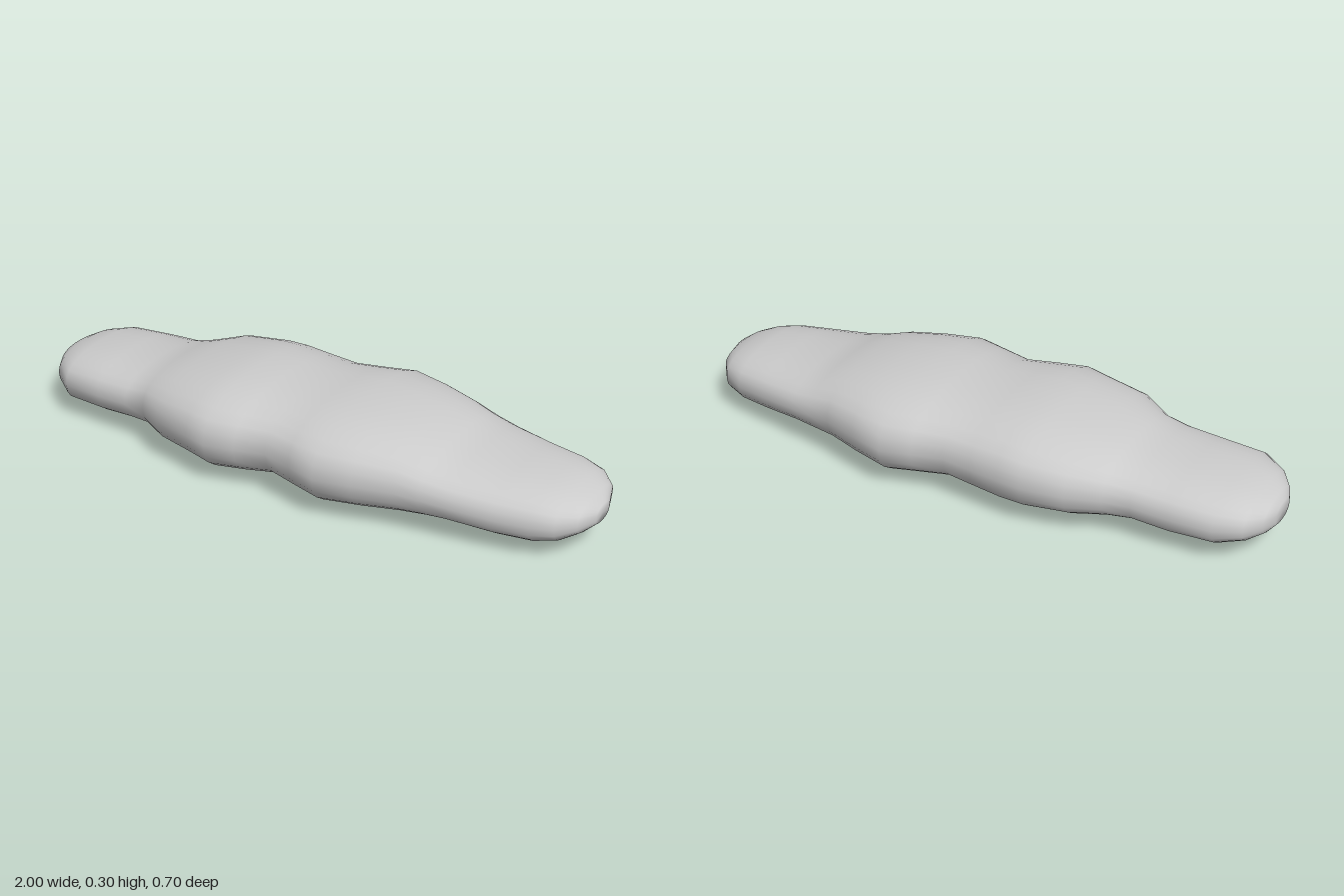
import * as THREE from 'three';

// Cross-sections along x: [x, bottom, top, back z, front z]
const sections = [
  [-1, 0.1, 0.165, -0.05, 0.06],
  [-0.98, 0.08, 0.18, -0.1, 0.115],
  [-0.94, 0.06, 0.2, -0.155, 0.175],
  [-0.86, 0.035, 0.222, -0.197, 0.23],
  [-0.72, 0.03, 0.23, -0.21, 0.235],
  [-0.6, 0.038, 0.234, -0.215, 0.24],
  [-0.52, 0.034, 0.252, -0.24, 0.246],
  [-0.42, 0.025, 0.283, -0.295, 0.302],
  [-0.28, 0.012, 0.298, -0.32, 0.33],
  [-0.2, 0.005, 0.305, -0.316, 0.348],
  [-0.1, 0.014, 0.298, -0.308, 0.325],
  [0, 0.024, 0.292, -0.3, 0.295],
  [0.1, 0.014, 0.298, -0.327, 0.318],
  [0.2, 0.004, 0.305, -0.355, 0.34],
  [0.32, 0.014, 0.296, -0.328, 0.312],
  [0.44, 0.026, 0.28, -0.292, 0.275],
  [0.52, 0.034, 0.253, -0.278, 0.254],
  [0.6, 0.04, 0.235, -0.265, 0.24],
  [0.74, 0.03, 0.224, -0.24, 0.212],
  [0.85, 0.03, 0.217, -0.222, 0.185],
  [0.92, 0.05, 0.2, -0.198, 0.158],
  [0.97, 0.08, 0.18, -0.14, 0.11],
  [1, 0.105, 0.16, -0.05, 0.045],
];
const SIDES = 28;

// Rounded, slightly boxy outline value
const bulge = (v, power) => Math.sign(v) * Math.abs(v) ** power;

function cloudGeometry() {
  const pos = [], index = [];
  for (const [x, y0, y1, z0, z1] of sections) {
    for (let j = 0; j < SIDES; j++) {
      const a = (j / SIDES) * Math.PI * 2;
      const c = bulge(Math.cos(a), 0.88), s = bulge(Math.sin(a), 0.8);
      pos.push(x, (y0 + y1) / 2 + s * (y1 - y0) / 2, (z0 + z1) / 2 + c * (z1 - z0) / 2);
    }
  }
  // Skin between neighbouring sections
  const last = sections.length - 1;
  for (let i = 0; i < last; i++) {
    for (let j = 0; j < SIDES; j++) {
      const k = (j + 1) % SIDES;
      const a = i * SIDES + j, b = i * SIDES + k;
      index.push(a, a + SIDES, b, b, a + SIDES, b + SIDES);
    }
  }
  // Rounded-off ends
  for (const i of [0, last]) {
    const [x, y0, y1, z0, z1] = sections[i];
    const tip = pos.length / 3;
    pos.push(x, (y0 + y1) / 2, (z0 + z1) / 2);
    for (let j = 0; j < SIDES; j++) {
      const a = i * SIDES + j, b = i * SIDES + (j + 1) % SIDES;
      if (i === 0) index.push(tip, a, b);
      else index.push(tip, b, a);
    }
  }
  const geo = new THREE.BufferGeometry();
  geo.setAttribute('position', new THREE.Float32BufferAttribute(pos, 3));
  geo.setIndex(index);
  geo.computeVertexNormals();
  return geo;
}

export function createModel() {
  const group = new THREE.Group();
  group.name = 'cloud';
  const body = new THREE.Mesh(cloudGeometry(), new THREE.MeshStandardMaterial({ color: 0xcccccc }));
  body.name = 'cloudBody';
  group.add(body);
  return group;
}
